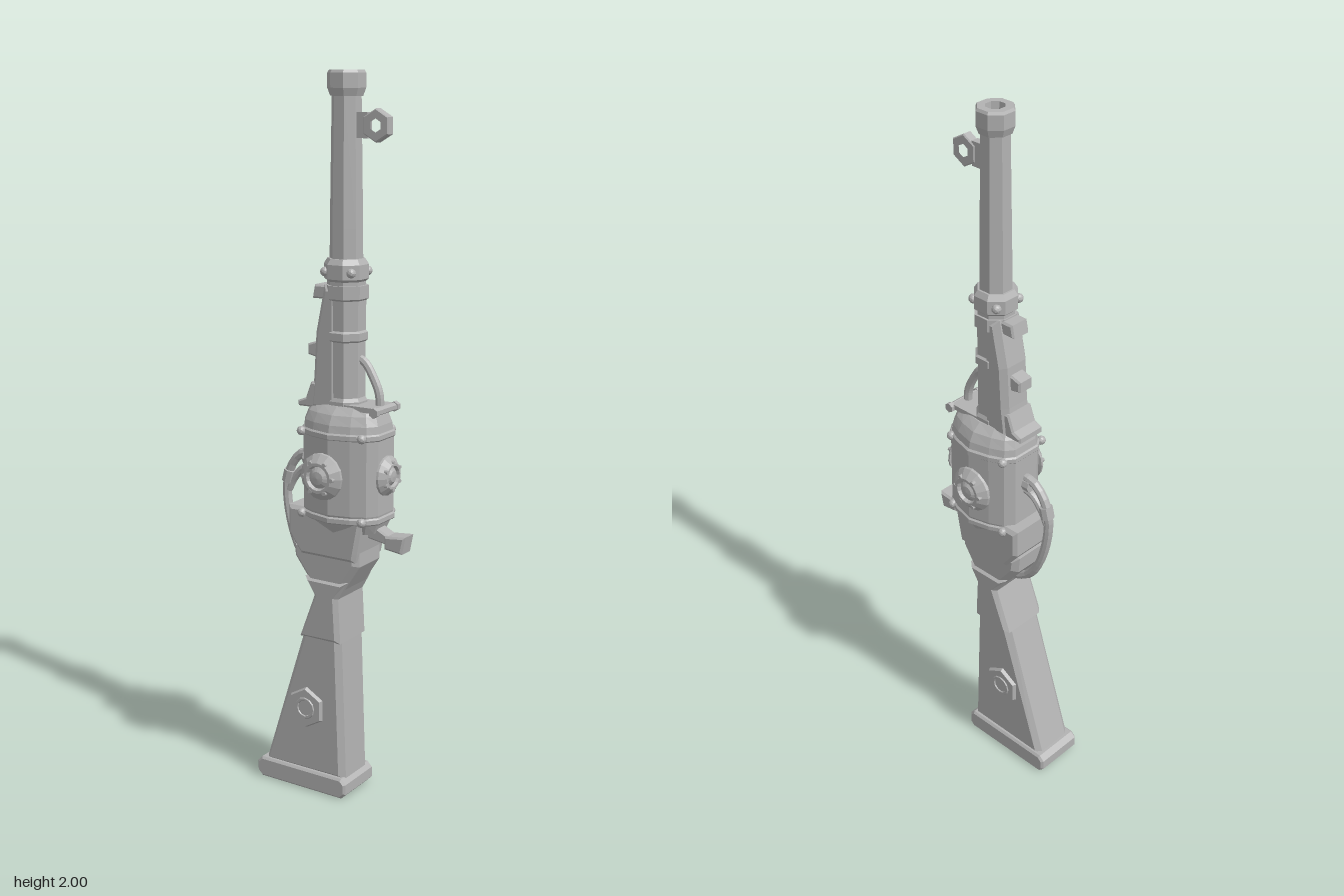
import * as THREE from 'three';

export function createModel() {
  const model = new THREE.Group();
  const metal = new THREE.MeshStandardMaterial({ color: 0xb2b2b2 });
  metal.name = 'grey';

  // Adds a faceted mesh at a position
  function add(name, geo, x = 0, y = 0, z = 0, rx = 0, ry = 0, rz = 0) {
    const g = geo.index ? geo.toNonIndexed() : geo;
    g.computeVertexNormals();
    const m = new THREE.Mesh(g, metal);
    m.name = name;
    m.position.set(x, y, z);
    m.rotation.set(rx, ry, rz);
    model.add(m);
    return m;
  }
  const shapeOf = (pts) => new THREE.Shape(pts.map((p) => new THREE.Vector2(p[0], p[1])));

  // Side profile in x-y, thickened to z = +-half with chamfered edges
  function slab(shape, half, bevel) {
    const g = new THREE.ExtrudeGeometry(shape, {
      depth: 2 * (half - bevel), bevelEnabled: true, bevelThickness: bevel,
      bevelSize: bevel, bevelOffset: -bevel, bevelSegments: 1,
    });
    return g.translate(0, 0, -(half - bevel));
  }

  // Stacks scaled copies of an x-z outline; rings are [y, scaleX, scaleZ]
  function loft(outline, rings) {
    const n = outline.length, pos = [], idx = [];
    for (const [y, sx, sz] of rings) for (const [x, z] of outline) pos.push(x * sx, y, z * sz);
    for (let r = 0; r < rings.length - 1; r++) {
      for (let i = 0; i < n; i++) {
        const a = r * n + i, b = r * n + (i + 1) % n;
        idx.push(a, b, a + n, b, b + n, a + n);
      }
    }
    const top = (rings.length - 1) * n;
    for (let i = 1; i < n - 1; i++) {
      idx.push(0, i + 1, i);
      idx.push(top, top + i, top + i + 1);
    }
    const g = new THREE.BufferGeometry();
    g.setAttribute('position', new THREE.Float32BufferAttribute(pos, 3));
    g.setIndex(idx);
    return g;
  }
  // Eight-sided turned part about y, flats facing the axes
  const octagon = (pts) => new THREE.LatheGeometry(
    pts.map((p) => new THREE.Vector2(p[0] / Math.cos(Math.PI / 8), p[1])), 8, Math.PI / 8);

  // Butt plate and stock
  add('buttPlate', slab(shapeOf([[-0.23, 0.015], [-0.215, 0], [0.058, 0], [0.073, 0.015], [0.073, 0.045], [0.058, 0.06], [-0.215, 0.06], [-0.23, 0.045]]), 0.076, 0.006));
  add('stock', slab(shapeOf([[-0.21, 0.05], [0.062, 0.05], [0.048, 0.46], [0.04, 0.59], [0.105, 0.69], [0.105, 0.74],
    [-0.11, 0.74], [-0.105, 0.69], [-0.03, 0.59], [-0.08, 0.46]]), 0.067, 0.016));
  add('wristSleeve', slab(shapeOf([[-0.083, 0.46], [0.05, 0.46], [0.043, 0.59], [0.07, 0.64],
    [-0.065, 0.64], [-0.034, 0.59]]), 0.075, 0.012));
  // Hexagonal bolts on both sides of the stock
  for (const s of [1, -1]) {
    add('stockBoltPlate', new THREE.CylinderGeometry(0.056, 0.066, 0.02, 6), -0.06, 0.25, s * 0.067, s * Math.PI / 2, 0, 0);
    add('stockBoltRing', new THREE.TorusGeometry(0.027, 0.006, 6, 12), -0.06, 0.25, s * 0.075);
  }

  // Lower housing and the angled spout
  add('lowerHousing', slab(shapeOf([[-0.075, 0.705], [0.1, 0.705], [0.105, 0.73], [0.125, 0.84], [-0.115, 0.84], [-0.115, 0.76]]), 0.076, 0.01));
  add('spoutArm', slab(shapeOf([[0.09, 0.77], [0.18, 0.755], [0.18, 0.78], [0.14, 0.8], [0.13, 0.86], [0.09, 0.86]]), 0.022, 0.005));
  add('spoutTip', slab(shapeOf([[0.165, 0.745], [0.22, 0.738], [0.23, 0.788], [0.165, 0.782]]), 0.027, 0.006));

  // Bulged receiver
  const half = [[-0.118, 0.042], [-0.1, 0.068], [-0.06, 0.087], [0, 0.102], [0.06, 0.087], [0.1, 0.068], [0.12, 0.04]];
  const outline = [...half, ...half.slice().reverse().map(([x, z]) => [x, -z])];
  add('receiver', loft(outline, [[0.785, 0.85, 0.75], [0.82, 0.97, 0.93], [0.84, 1, 1], [1.05, 1, 1], [1.085, 0.97, 0.93],
    [1.11, 0.9, 0.8], [1.13, 0.8, 0.56]]), 0.035, 0, 0);
  for (const y of [0.825, 1.055]) {
    add('receiverBand', loft(outline, [[-0.01, 1, 0.98], [-0.006, 1.03, 1.03], [0.006, 1.03, 1.03], [0.01, 1, 0.98]]), 0.035, y, 0);
    for (const x of [-0.067, 0.125]) for (const s of [1, -1]) {
      add('rivet', new THREE.IcosahedronGeometry(0.013, 1), x, y, s * 0.076);
    }
  }

  // Round ports on the front, back and +x side
  function port(size, x, y, z, rx, rz) {
    const profile = [[0, 0], [0.046, 0], [0.046, 0.022], [0.065, 0.026], [0.064, 0.033], [0.042, 0.053],
      [0.034, 0.053], [0.03, 0.043], [0.018, 0.052], [0, 0.054]];
    const p = add('port', new THREE.LatheGeometry(profile.map((q) => new THREE.Vector2(...q)), 16), x, y, z, rx, 0, rz);
    for (let i = 0; i < 6; i++) {
      const a = i * Math.PI / 3;
      const stud = new THREE.Mesh(new THREE.CylinderGeometry(0.006, 0.008, 0.014, 6), metal);
      stud.name = 'portStud';
      stud.position.set(0.045 * Math.cos(a), 0.047, 0.045 * Math.sin(a));
      p.add(stud);
    }
    p.scale.setScalar(size);
  }
  port(1, 0.018, 0.945, 0.077, Math.PI / 2, 0);
  port(1, 0.018, 0.945, -0.077, -Math.PI / 2, 0);
  port(0.85, 0.135, 0.945, 0, 0, -Math.PI / 2);

  // Barrel, bands and open muzzle
  add('lowerBarrel', octagon([[0, 1.1], [0.052, 1.1], [0.052, 1.14], [0.047, 1.15], [0.047, 1.3], [0.053, 1.305],
    [0.053, 1.325], [0.047, 1.33], [0.048, 1.41], [0.054, 1.415], [0.054, 1.45], [0, 1.45]]), 0.03, 0, 0);
  add('barrelBand', octagon([[0.035, 1.435], [0.048, 1.435], [0.048, 1.46], [0.056, 1.467], [0.056, 1.505], [0.047, 1.52], [0.03, 1.52]]), 0.028, 0, 0);
  add('barrel', octagon([[0, 1.4], [0.042, 1.45], [0.041, 1.6], [0.036, 1.95], [0, 1.95]]), 0.028, 0, 0);
  add('muzzle', octagon([[0.034, 1.935], [0.04, 1.935], [0.047, 1.955], [0.047, 1.993], [0.043, 2], [0.024, 2], [0.022, 1.953], [0, 1.953]]), 0.028, 0, 0);
  for (const x of [-0.013, 0.069]) for (const z of [-0.041, 0.041]) {
    add('bandRivet', new THREE.IcosahedronGeometry(0.013, 1), x, 1.485, z);
  }

  // Hexagonal ring sight on a short arm
  const hex = (r) => Array.from({ length: 6 }, (_, i) => [r * Math.sin(i * Math.PI / 3), r * Math.cos(i * Math.PI / 3)]);
  const ring = shapeOf(hex(0.043));
  ring.holes.push(shapeOf(hex(0.021)));
  add('sightRing', slab(ring, 0.014, 0.003), 0.124, 1.862, 0);
  add('sightArm', new THREE.BoxGeometry(0.05, 0.065, 0.022), 0.073, 1.862, 0);

  // Fore-end with clips on its back edge
  add('foreEnd', slab(shapeOf([[-0.062, 1.11], [0.03, 1.11], [0.03, 1.45], [-0.018, 1.45], [-0.045, 1.32], [-0.052, 1.2]]), 0.05, 0.016));
  add('upperClip', slab(shapeOf([[-0.062, 1.41], [0, 1.41], [0, 1.447], [-0.055, 1.447]]), 0.03, 0.005));
  add('middleClip', slab(shapeOf([[-0.08, 1.255], [-0.03, 1.245], [-0.03, 1.3], [-0.08, 1.285]]), 0.025, 0.005));
  add('lowerClip', slab(shapeOf([[-0.1, 1.115], [-0.04, 1.115], [-0.04, 1.185], [-0.058, 1.185], [-0.075, 1.14], [-0.1, 1.13]]), 0.045, 0.005));

  // Cross bar and plate above the receiver
  add('topPlate', new THREE.BoxGeometry(0.12, 0.014, 0.1), 0.09, 1.128, 0);
  add('crossBar', new THREE.CylinderGeometry(0.011, 0.011, 0.115, 6), 0.15, 1.125, 0, Math.PI / 2, 0, 0);
  for (const s of [1, -1]) add('crossBarEnd', new THREE.CylinderGeometry(0.014, 0.014, 0.014, 6), 0.15, 1.125, s * 0.053, Math.PI / 2, 0, 0);

  // Pipes
  const pipe = (name, pts, r) => add(name, new THREE.TubeGeometry(
    new THREE.CatmullRomCurve3(pts.map((p) => new THREE.Vector3(p[0], p[1], 0))), 20, r, 8));
  pipe('frontPipe', [[0.06, 1.26], [0.088, 1.245], [0.115, 1.205], [0.132, 1.165], [0.135, 1.12]], 0.012);
  pipe('rearHose', [[-0.07, 0.978], [-0.115, 0.972], [-0.15, 0.935], [-0.167, 0.88], [-0.16, 0.79], [-0.128, 0.695], [-0.09, 0.645], [-0.03, 0.615]], 0.013);
  pipe('rearHoseBranch', [[-0.07, 0.94], [-0.11, 0.93], [-0.143, 0.895], [-0.162, 0.86]], 0.011);
  add('hoseCollar', new THREE.CylinderGeometry(0.019, 0.019, 0.035, 8), -0.16, 0.9, 0, 0, 0, -0.25);
  add('hoseSocket', new THREE.CylinderGeometry(0.02, 0.02, 0.03, 8), -0.09, 0.96, 0, 0, 0, Math.PI / 2);

  return model;
}
